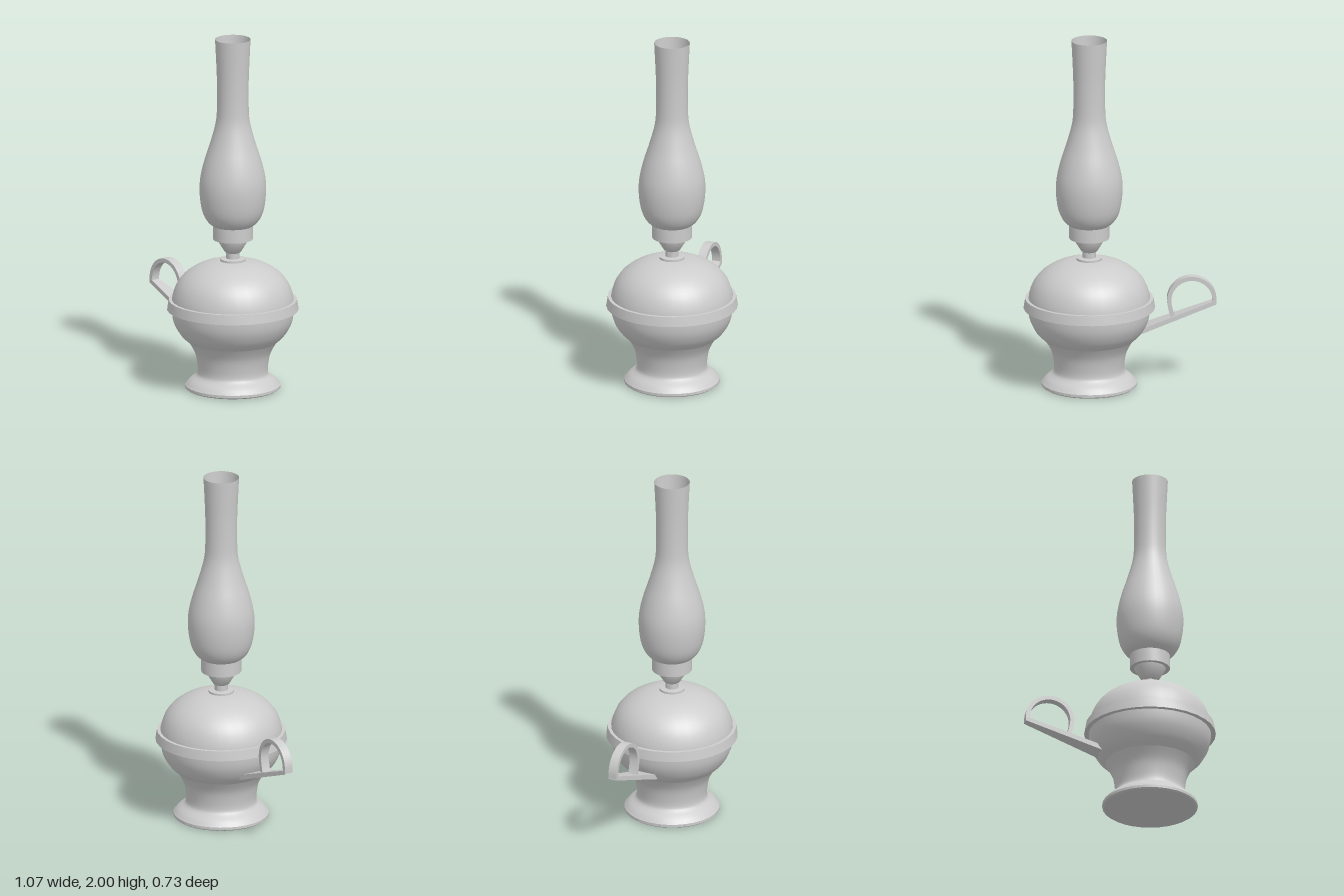
import * as THREE from 'three';
import { toCreasedNormals } from 'three/addons/utils/BufferGeometryUtils.js';

const AXIS_X = 0.168;
const SEGMENTS = 32;
const grey = new THREE.MeshStandardMaterial({ color: 0xcccccc });
const thin = new THREE.MeshStandardMaterial({ color: 0xcccccc, side: THREE.DoubleSide });

const toVectors = (pairs) => pairs.map(([x, y]) => new THREE.Vector2(x, y));

// Smooth run of profile points through a few [radius, height] pairs
const smooth = (pairs, count) => new THREE.SplineCurve(toVectors(pairs)).getPoints(count);

export function createModel() {
  const model = new THREE.Group();
  model.name = 'oilLamp';

  const lamp = new THREE.Group();
  lamp.name = 'lampBody';
  lamp.position.x = AXIS_X;
  model.add(lamp);

  // Turned part around the lamp axis, profile listed from bottom to top
  function turn(name, points, material = grey, crease = 0.6) {
    const geometry = toCreasedNormals(new THREE.LatheGeometry(points, SEGMENTS), crease);
    const mesh = new THREE.Mesh(geometry, material);
    mesh.name = name;
    lamp.add(mesh);
  }

  // Foot with a thin rim and a flaring waist
  turn('foot', [
    ...toVectors([[0, 0.005], [0.255, 0.005], [0.265, 0.012], [0.265, 0.027]]),
    ...smooth([[0.262, 0.03], [0.24, 0.055], [0.205, 0.08], [0.195, 0.1], [0.196, 0.14],
      [0.207, 0.2], [0.225, 0.24], [0.247, 0.275]], 18),
  ]);

  // Lower half of the oil bowl
  turn('bowl', smooth([[0.247, 0.275], [0.29, 0.315], [0.322, 0.37], [0.336, 0.42], [0.341, 0.485]], 12));

  // Band around the widest part
  turn('bowlBand', toVectors([[0.33, 0.457], [0.365, 0.457], [0.356, 0.512], [0.33, 0.512]]));

  // Domed top of the bowl
  turn('dome', smooth([[0.341, 0.485], [0.333, 0.54], [0.307, 0.605], [0.26, 0.66], [0.19, 0.704],
    [0.11, 0.729], [0, 0.738]], 18));

  // Collar, neck and burner cone
  turn('collar', toVectors([[0.07, 0.72], [0.07, 0.745], [0.037, 0.748]]));
  turn('neck', toVectors([[0.037, 0.742], [0.037, 0.78], [0.046, 0.786], [0.088, 0.855], [0.088, 0.862]]));

  // Burner cup carrying the chimney
  turn('burnerCup', toVectors([[0, 0.858], [0.111, 0.858], [0.111, 0.935], [0, 0.935]]));

  // Glass chimney, open at the top
  turn('chimney', smooth([[0.108, 0.933], [0.142, 0.962], [0.17, 1.02], [0.184, 1.11], [0.182, 1.2],
    [0.16, 1.3], [0.125, 1.41], [0.096, 1.52], [0.0885, 1.61], [0.0885, 1.76], [0.093, 1.88], [0.099, 2]], 40),
  thin, 1.2);

  // Handle bar, widening toward the bowl
  const handle = new THREE.Group();
  handle.name = 'handle';
  model.add(handle);
  const barShape = new THREE.Shape(toVectors([
    [-0.537, 0.47], [-0.05, 0.288], [-0.05, 0.318], [-0.53, 0.492],
  ]));
  const bar = new THREE.ExtrudeGeometry(barShape, { depth: 2, bevelEnabled: false });
  bar.translate(0, 0, -1);
  const p = bar.attributes.position;
  for (let i = 0; i < p.count; i++) {
    p.setZ(i, p.getZ(i) * THREE.MathUtils.mapLinear(p.getX(i), -0.537, -0.19, 0.025, 0.053));
  }
  bar.computeVertexNormals();
  const barMesh = new THREE.Mesh(bar, grey);
  barMesh.name = 'handleBar';
  handle.add(barMesh);

  // Finger loop: arched strip standing on the bar
  const cx = -0.4, cy = 0.494, outer = 0.137, inner = 0.114;
  const loopShape = new THREE.Shape();
  loopShape.moveTo(-0.537, 0.474);
  loopShape.lineTo(cx - outer, cy);
  loopShape.absarc(cx, cy, outer, Math.PI, 0, true);
  loopShape.quadraticCurveTo(-0.265, 0.45, -0.285, 0.39);
  loopShape.lineTo(-0.308, 0.398);
  loopShape.quadraticCurveTo(-0.288, 0.45, cx + inner, cy);
  loopShape.absarc(cx, cy, inner, 0, Math.PI, false);
  loopShape.lineTo(-0.514, 0.474);
  const loop = new THREE.ExtrudeGeometry(loopShape, { depth: 0.05, bevelEnabled: false, curveSegments: 20 });
  loop.translate(0, 0, -0.025);
  const loopMesh = new THREE.Mesh(toCreasedNormals(loop, 0.6), grey);
  loopMesh.name = 'fingerLoop';
  handle.add(loopMesh);

  return model;
}
